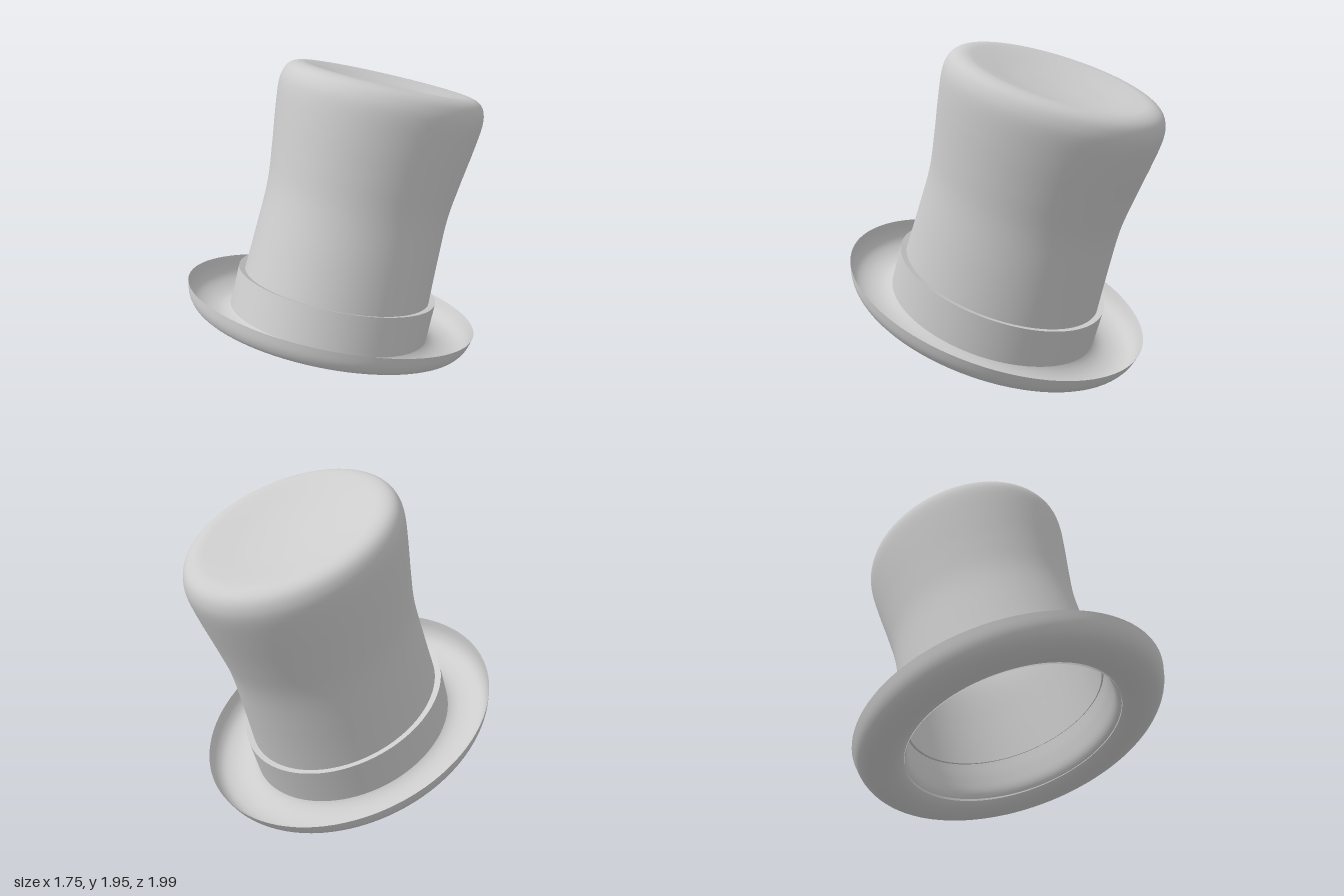
import * as THREE from 'three';
import { mergeVertices } from 'three/addons/utils/BufferGeometryUtils.js';

// Revolve a profile of [radius, height] into an oval; ratio(r) gives width / depth.
function ovalLathe(points, ratio) {
  let geo = new THREE.LatheGeometry(points, 96);
  geo.deleteAttribute('uv');
  geo.deleteAttribute('normal');
  geo = mergeVertices(geo, 1e-5);
  const pos = geo.attributes.position;
  for (let i = 0; i < pos.count; i++) {
    const r = Math.hypot(pos.getX(i), pos.getZ(i));
    pos.setX(i, pos.getX(i) * ratio(r));
  }
  geo.computeVertexNormals();
  return geo;
}

const vec = ([r, y]) => new THREE.Vector2(r, y);

export function createModel() {
  const felt = new THREE.MeshStandardMaterial({ color: 0xcccccc, side: THREE.DoubleSide });
  felt.name = 'light grey felt';

  const hat = new THREE.Group();
  hat.name = 'topHat';

  // Brim and crown: one thin shell, curled rim, waisted wall, dished top
  const profile = new THREE.SplineCurve([
    [0.967, 0.372], [0.945, 0.3], [0.9, 0.247], [0.82, 0.222], [0.73, 0.232],
    [0.665, 0.28], [0.645, 0.38], [0.637, 0.5], [0.624, 0.76], [0.616, 1.04],
    [0.638, 1.26], [0.668, 1.48], [0.684, 1.64], [0.672, 1.72], [0.635, 1.77],
    [0.57, 1.79], [0.48, 1.78], [0.3, 1.75], [0.12, 1.735], [0, 1.73],
  ].map(vec)).getPoints(90);
  profile[profile.length - 1].x = 0;
  const shell = new THREE.Mesh(
    ovalLathe(profile, (r) => 0.87 + 0.033 * THREE.MathUtils.smoothstep(r, 0.7, 0.95)), felt);
  shell.name = 'crownAndBrim';
  hat.add(shell);

  // Band: upright wall and a narrow ledge, kept separate for a sharp edge
  const band = new THREE.Group();
  band.name = 'hatBand';
  const wall = new THREE.Mesh(ovalLathe([[0.676, 0.25], [0.674, 0.503]].map(vec), () => 0.885), felt);
  wall.name = 'bandWall';
  const ledge = new THREE.Mesh(ovalLathe([[0.674, 0.503], [0.62, 0.49]].map(vec), () => 0.885), felt);
  ledge.name = 'bandLedge';
  band.add(wall, ledge);
  hat.add(band);

  // Tipped backwards, with a slight lean to the left
  hat.rotation.set(-0.333, 0, -0.03);
  hat.position.set(-0.01, 0.071, 0.205);

  const model = new THREE.Group();
  model.name = 'model';
  model.add(hat);
  return model;
}
